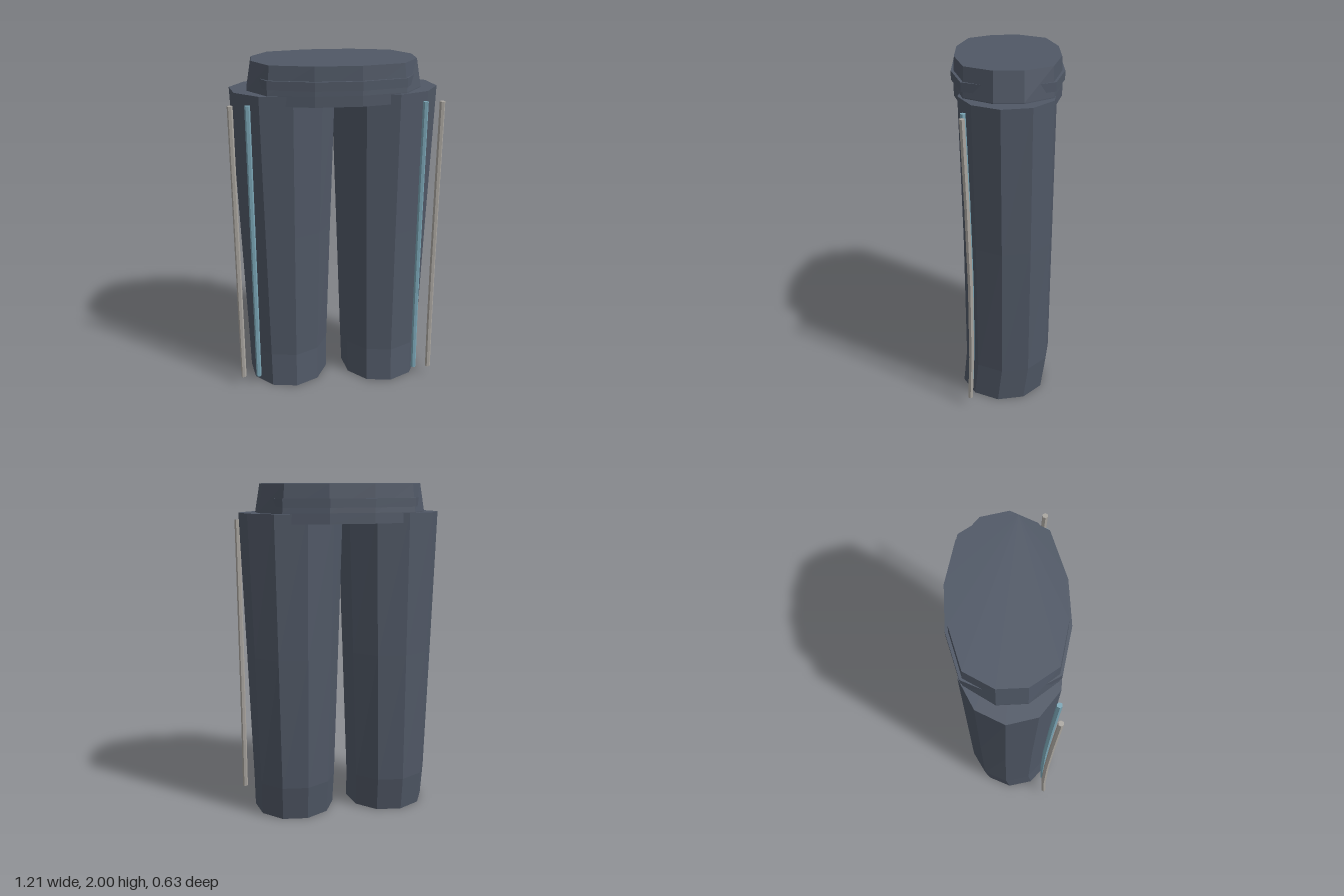
import * as THREE from 'three';

const cloth = new THREE.MeshStandardMaterial({ color: 0x505866, flatShading: true });
cloth.name = 'slate cloth';
const grey = new THREE.MeshStandardMaterial({ color: 0xaaa6a0, flatShading: true });
grey.name = 'light grey trim';
const blue = new THREE.MeshStandardMaterial({ color: 0x7aa5b5, flatShading: true });
blue.name = 'pale blue trim';

// Capped solid through horizontal rings of [x, y, z] points, listed bottom to top
function loft(rings) {
  const pos = [];
  const n = rings[0].length;
  const tri = (a, b, c) => pos.push(...a, ...b, ...c);
  for (let i = 0; i < rings.length - 1; i++) {
    for (let j = 0; j < n; j++) {
      const k = (j + 1) % n;
      const a = rings[i][j], b = rings[i][k], c = rings[i + 1][j], d = rings[i + 1][k];
      tri(a, c, b);
      tri(b, c, d);
    }
  }
  const low = rings[0], high = rings[rings.length - 1];
  for (let j = 1; j < n - 1; j++) {
    tri(low[0], low[j], low[j + 1]);
    tri(high[0], high[j + 1], high[j]);
  }
  const geometry = new THREE.BufferGeometry();
  geometry.setAttribute('position', new THREE.Float32BufferAttribute(pos, 3));
  geometry.computeVertexNormals();
  return geometry;
}

// Elliptical ring
function ellipse(cx, y, cz, rx, rz, sides, phase = 0) {
  return Array.from({ length: sides }, (_, j) => {
    const a = phase + (j / sides) * Math.PI * 2;
    return [cx + rx * Math.cos(a), y, cz + rz * Math.sin(a)];
  });
}

// Twelve-sided ring mirrored from three corners of one quarter
function waistRing(y, quarter) {
  const back = [...quarter].reverse();
  return [
    ...quarter.map(([x, z]) => [x, y, z]),
    ...back.map(([x, z]) => [-x, y, z]),
    ...quarter.map(([x, z]) => [-x, y, -z]),
    ...back.map(([x, z]) => [x, y, -z]),
  ];
}

export function createModel() {
  const model = new THREE.Group();
  model.name = 'trousers';
  const add = (name, geometry, material) => {
    const mesh = new THREE.Mesh(geometry, material);
    mesh.name = name;
    model.add(mesh);
  };

  // Waist and belt
  const hip = [[0.495, 0.08], [0.385, 0.24], [0.13, 0.302]];
  const top = [[0.467, 0.08], [0.37, 0.235], [0.13, 0.296]];
  add('waist', loft([waistRing(1.78, hip), waistRing(1.84, hip), waistRing(2, top)]), cloth);
  const belt = [[0.47, 0.08], [0.385, 0.25], [0.13, 0.316]];
  add('belt', loft([waistRing(1.87, belt), waistRing(1.92, belt)]), cloth);

  // Leg rings: y, centre x, centre z, radius x, radius z
  const legRings = [
    [0, 0.298, 0.028, 0.245, 0.253],
    [0.21, 0.298, 0.003, 0.251, 0.257],
    [1, 0.297, 0, 0.277, 0.261],
    [1.835, 0.296, 0.003, 0.305, 0.271],
  ];
  // Stripe path: y, z
  const stripePath = [[0.06, 0.228], [0.35, 0.216], [0.8, 0.213], [1.3, 0.222], [1.785, 0.236]];

  for (const [side, s] of [['left', 1], ['right', -1]]) {
    add(side + 'Leg', loft(legRings.map(([y, x, z, rx, rz]) =>
      ellipse(s * x, y, z, rx, rz, 10, 0.147))), cloth);
    const stripe = (x) => loft(stripePath.map(([y, z]) => ellipse(s * x, y, z, 0.016, 0.016, 6)));
    add(side + 'OuterStripe', stripe(0.588), grey);
    add(side + 'InnerStripe', stripe(0.494), blue);
  }
  return model;
}
